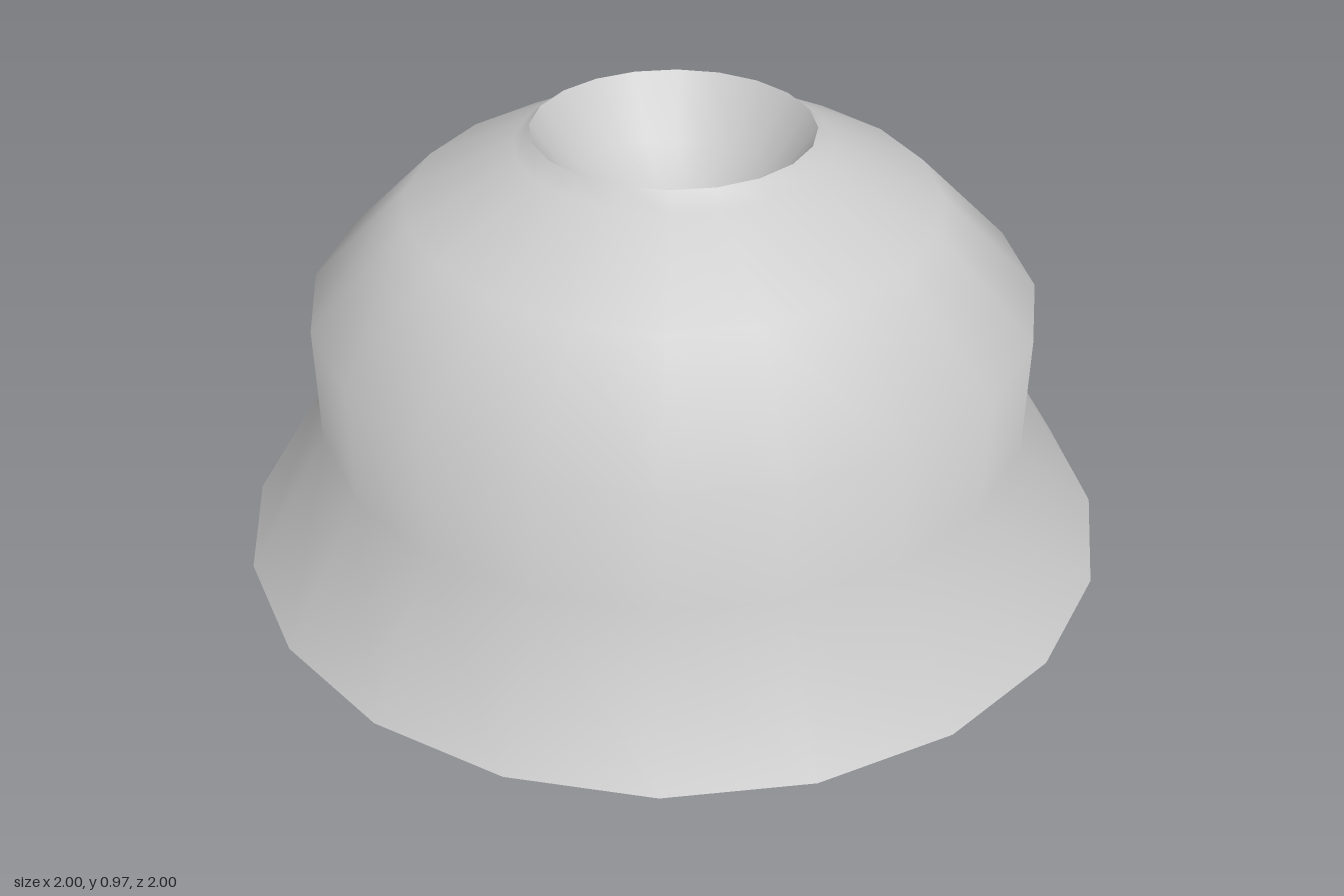
import * as THREE from 'three';

const SIDES = 20;
const material = new THREE.MeshStandardMaterial({ color: 0xcccccc });

// Smooth surface of revolution from [radius, height] pairs
function turned(name, profile) {
  const points = profile.map(([r, y]) => new THREE.Vector2(r, y));
  const mesh = new THREE.Mesh(new THREE.LatheGeometry(points, SIDES), material);
  mesh.name = name;
  return mesh;
}

export function createModel() {
  const group = new THREE.Group();
  group.name = 'flaredDome';

  // Flared skirt, upright wall and rounded shoulder up to the rim
  group.add(turned('outerShell', [
    [1, 0], [0.81, 0.31], [0.81, 0.59], [0.59, 0.81], [0.345, 0.935], [0.31, 0.97],
  ]));

  // Concave hollow in the top, meeting the shell at a sharp rim
  group.add(turned('topHollow', [
    [0.31, 0.97], [0.22, 0.84], [0.11, 0.76], [0, 0.73],
  ]));

  // Flat closed underside
  const base = new THREE.Mesh(new THREE.CircleGeometry(1, SIDES), material);
  base.rotation.x = Math.PI / 2;
  base.name = 'base';
  group.add(base);

  return group;
}
